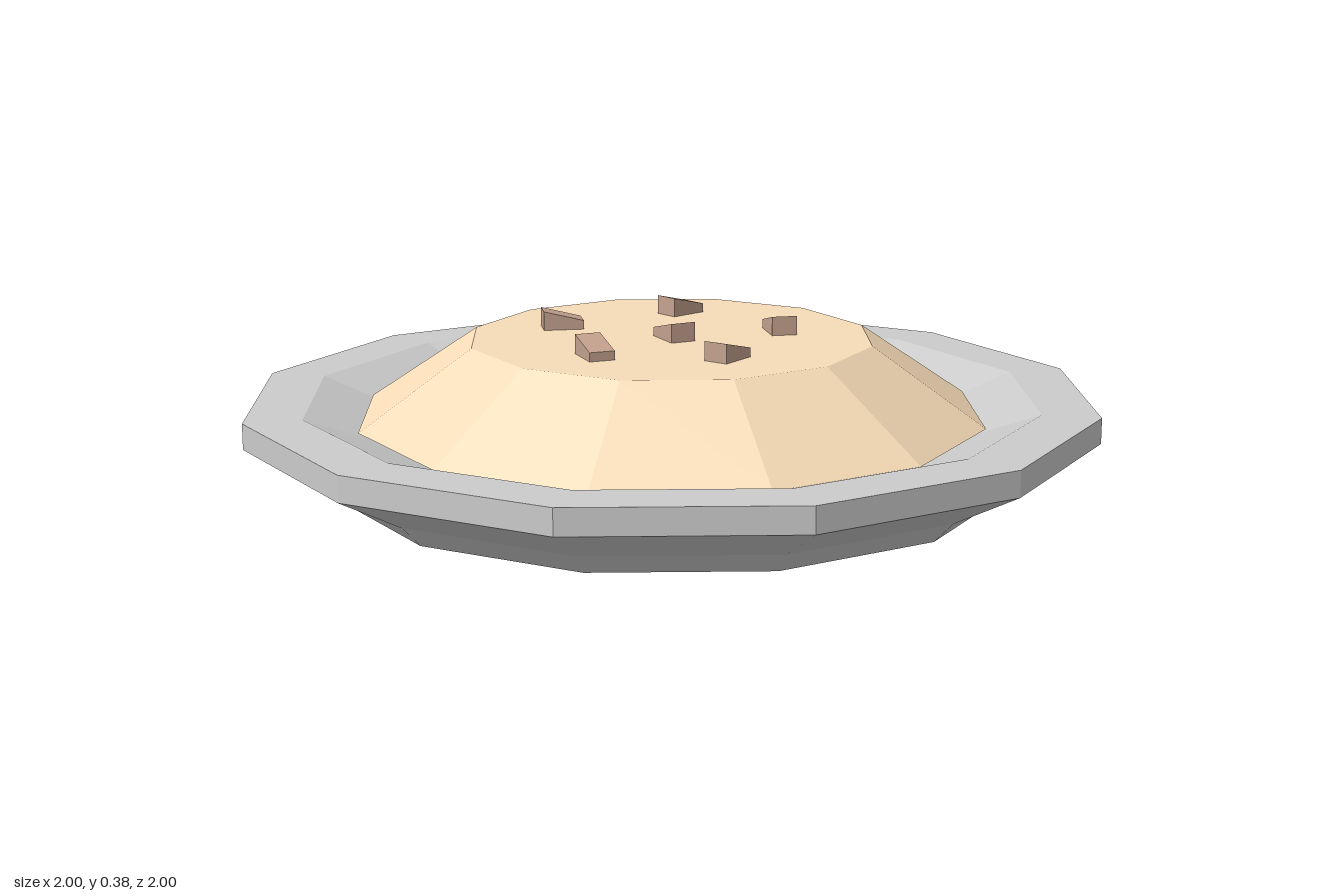
import * as THREE from 'three';

const SIDES = 12;
const material = (color) => new THREE.MeshStandardMaterial({ color, flatShading: true });

// Faceted solid of revolution; profile runs from the bottom centre outwards and up to the top centre
function turned(name, profile, mat) {
  const points = profile.map(([r, y]) => new THREE.Vector2(r, y));
  const mesh = new THREE.Mesh(new THREE.LatheGeometry(points, SIDES), mat);
  mesh.name = name;
  return mesh;
}

// Wedge-shaped chunk, tall at its +x end and low at its -x end
function chunkGeometry() {
  const tall = 0.045, low = 0.021;
  const geometry = new THREE.BoxGeometry(0.095, 1, 0.06);
  const p = geometry.attributes.position;
  for (let i = 0; i < p.count; i++) {
    const top = p.getX(i) > 0 ? tall : low;
    p.setY(i, p.getY(i) > 0 ? top : -0.005);
  }
  geometry.computeVertexNormals();
  return geometry;
}

export function createModel() {
  const group = new THREE.Group();

  // Plate with a stepped underside, thick rim and shallow well
  group.add(turned('plate', [
    [0, 0], [0.78, 0], [0.83, 0.05], [1, 0.14], [1, 0.2],
    [0.865, 0.2], [0.7, 0.14], [0, 0.14],
  ], material(0xcccccc)));

  // Flat-topped mound of food
  group.add(turned('foodMound', [
    [0, 0.16], [0.74, 0.16], [0.475, 0.34], [0, 0.34],
  ], material(0xf7dcb8)));

  // Scattered chunks: x, z, then the direction of the tall end
  const chunks = new THREE.Group();
  chunks.name = 'chunks';
  const geometry = chunkGeometry();
  const chunkMaterial = material(0xc4a28e);
  [
    [-0.10, -0.26, -0.80, -0.60],
    [0.225, -0.18, -1.00, -0.08],
    [-0.28, 0.03, 0.42, -0.91],
    [-0.01, 0.02, -0.35, 0.94],
    [0.22, 0.145, -0.57, 0.82],
    [-0.09, 0.26, -0.99, 0.13],
  ].forEach(([x, z, dx, dz]) => {
    const chunk = new THREE.Mesh(geometry, chunkMaterial);
    chunk.name = 'chunk';
    chunk.position.set(x, 0.34, z);
    chunk.rotation.y = Math.atan2(-dz, dx);
    chunks.add(chunk);
  });
  group.add(chunks);

  return group;
}
